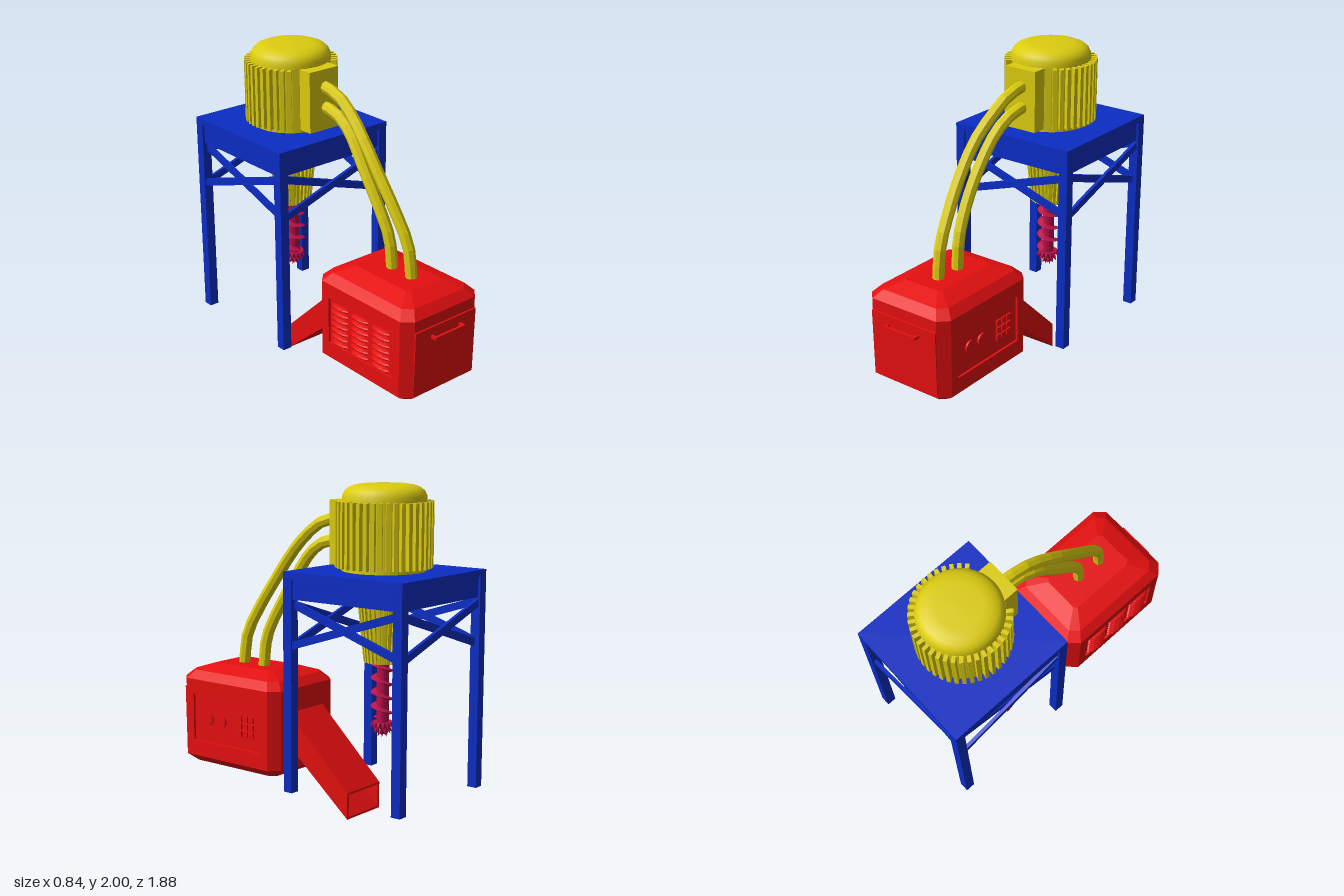
import * as THREE from 'three';

const mat = (color, flatShading = true) => {
  const m = new THREE.MeshStandardMaterial({ color, side: THREE.DoubleSide });
  m.flatShading = flatShading;
  return m;
};
const YELLOW = mat(0xdccc10), RED = mat(0xe60f10), BLUE = mat(0x0b2cc4), CRIMSON = mat(0xb80f48);
const SMOOTH_YELLOW = mat(0xdccc10, false);

function add(parent, name, geometry, material, x = 0, y = 0, z = 0) {
  const mesh = new THREE.Mesh(geometry, material);
  mesh.name = name;
  mesh.position.set(x, y, z);
  parent.add(mesh);
  return mesh;
}
function group(parent, name, x = 0, y = 0, z = 0) {
  const g = new THREE.Group();
  g.name = name;
  g.position.set(x, y, z);
  parent.add(g);
  return g;
}
const box = (w, h, d) => new THREE.BoxGeometry(w, h, d);

// Rectangle with a rectangular hole, extruded
function frameGeometry(x, y0, y1, hx, hy0, hy1, depth) {
  const rect = (a, b, c) => [[-a, b], [a, b], [a, c], [-a, c]].map(p => new THREE.Vector2(...p));
  const shape = new THREE.Shape(rect(x, y0, y1));
  shape.holes.push(new THREE.Path(rect(hx, hy0, hy1).reverse()));
  return new THREE.ExtrudeGeometry(shape, { depth, bevelEnabled: false });
}

// Octagonal rings stacked into a chamfered casing, side windows left open
function casingGeometry() {
  const rings = [[0.24, 0.34, 0.19, 0.04], [0.3, 0.4, 0.24, 0.06], [0.3, 0.4, 0.735, 0.06],
    [0.25, 0.35, 0.785, 0.05], [0.135, 0.235, 0.825, 0.02]];
  const pos = [], idx = [];
  for (const [w, d, y, c] of rings)
    for (const [x, z] of [[w - c, d], [w, d - c], [w, c - d], [w - c, -d],
      [c - w, -d], [-w, c - d], [-w, d - c], [c - w, d]]) pos.push(x, y, z);
  for (let r = 0; r < rings.length - 1; r++)
    for (let i = 0; i < 8; i++) {
      if (r === 1 && (i === 1 || i === 5)) continue;
      const a = r * 8 + i, b = r * 8 + (i + 1) % 8;
      idx.push(a, b, b + 8, a, b + 8, a + 8);
    }
  const top = (rings.length - 1) * 8;
  for (let i = 1; i < 7; i++) idx.push(0, i + 1, i, top, top + i, top + i + 1);
  const g = new THREE.BufferGeometry();
  g.setAttribute('position', new THREE.Float32BufferAttribute(pos, 3));
  g.setIndex(idx);
  g.computeVertexNormals();
  return g;
}

// Triangular blade swept down a helix
function bladeGeometry(y0, pitch, turns) {
  const pos = [], idx = [], n = turns * 20;
  for (let i = 0; i <= n; i++) {
    const a = i / 20 * Math.PI * 2, y = y0 - i / 20 * pitch;
    for (const [r, dy] of [[0.03, 0.014], [0.072, 0], [0.03, -0.014]])
      pos.push(r * Math.sin(a), y + dy, r * Math.cos(a));
    if (i < n) for (let k = 0; k < 3; k++) {
      const p = i * 3 + k, q = i * 3 + (k + 1) % 3;
      idx.push(p, q, q + 3, p, q + 3, p + 3);
    }
  }
  const g = new THREE.BufferGeometry();
  g.setAttribute('position', new THREE.Float32BufferAttribute(pos, 3));
  g.setIndex(idx);
  g.computeVertexNormals();
  return g;
}

function buildStand(root) {
  const stand = group(root, 'stand', 0, 0, -0.52);
  add(stand, 'tableTop', box(0.84, 0.04, 0.84), BLUE, 0, 1.48, 0);
  for (const x of [-0.39, 0.39]) for (const z of [-0.39, 0.39])
    add(stand, 'leg', box(0.06, 1.275, 0.06), BLUE, x, 0.8275, z);
  for (let i = 0; i < 4; i++) {
    const side = group(stand, 'standSide');
    side.rotation.y = i * Math.PI / 2;
    add(side, 'apron', box(0.74, 0.12, 0.03), BLUE, 0, 1.4, 0.39);
    for (const s of [-1, 1])
      add(side, 'crossBrace', box(0.79, 0.045, 0.02), BLUE, 0, 1.19, 0.39 + s * 0.01)
        .rotation.z = s * Math.atan2(0.24, 0.74);
  }
}

function buildMotor(root) {
  const motor = group(root, 'motor', 0, 0, -0.51);
  add(motor, 'motorCore', new THREE.CylinderGeometry(0.247, 0.247, 0.4, 40), YELLOW, 0, 1.7, 0);
  const dome = [[0.246, 1.9], [0.244, 1.93], [0.232, 1.957], [0.21, 1.977], [0.175, 1.991], [0.13, 1.998], [0, 2]];
  add(motor, 'motorCap', new THREE.LatheGeometry(dome.map(p => new THREE.Vector2(...p)), 40), SMOOTH_YELLOW);
  // Cooling fins, leaving room for the junction box
  const count = 40;
  for (let i = 0; i < count; i++) {
    const a = (i + 0.5) / count * Math.PI * 2;
    if (Math.cos(a) > 0.84) continue;
    add(motor, 'coolingFin', box(0.023, 0.38, 0.05), YELLOW,
      Math.sin(a) * 0.26, 1.71, Math.cos(a) * 0.26).rotation.y = a;
  }
  add(motor, 'junctionBox', box(0.22, 0.38, 0.15), YELLOW, 0, 1.71, 0.24);
  // Ribbed tapering gearbox under the table
  add(motor, 'gearbox', new THREE.CylinderGeometry(0.155, 0.1, 0.54, 32), YELLOW, 0, 1.23, 0);
  for (let i = 0; i < 28; i++) {
    const pivot = group(motor, 'gearboxRib');
    pivot.rotation.y = i / 28 * Math.PI * 2;
    add(pivot, 'rib', box(0.015, 0.535, 0.03), YELLOW, 0, 1.23, 0.128).rotation.x = Math.atan(0.105);
  }
}

function buildAuger(root) {
  const auger = group(root, 'auger', 0, 0, -0.51);
  add(auger, 'shaft', new THREE.CylinderGeometry(0.037, 0.037, 0.42, 16), CRIMSON, 0, 0.77, 0);
  add(auger, 'screwBlade', bladeGeometry(0.96, 0.085, 4), CRIMSON);
  add(auger, 'bitHead', new THREE.CylinderGeometry(0.062, 0.03, 0.07, 16), CRIMSON, 0, 0.565, 0);
  // Rings of cutting teeth
  for (const [n, r, y] of [[14, 0.064, 0.582], [10, 0.048, 0.549], [6, 0.022, 0.528]])
    for (let i = 0; i < n; i++) {
      const a = i / n * Math.PI * 2;
      const tooth = add(auger, 'tooth', new THREE.ConeGeometry(0.012, 0.036, 5), CRIMSON,
        Math.sin(a) * r, y, Math.cos(a) * r);
      tooth.rotation.set(Math.PI * 0.8, a, 0, 'YXZ');
    }
}

function buildGenerator(root) {
  const unit = group(root, 'powerUnit', -0.01, 0, 0.485);
  add(unit, 'casing', casingGeometry(), RED);
  // Recessed side panels
  for (const s of [-1, 1]) {
    add(unit, 'sideFrame', frameGeometry(0.34, 0.24, 0.735, 0.28, 0.34, 0.64, 0.02), RED, s * 0.28)
      .rotation.y = s * Math.PI / 2;
    add(unit, 'sidePanel', box(0.01, 0.32, 0.6), RED, s * 0.28, 0.49, 0);
  }
  // Dials and keypad on the left
  for (const z of [0.16, 0.05])
    add(unit, 'dial', new THREE.CylinderGeometry(0.04, 0.04, 0.016, 24), RED, 0.29, 0.49, z)
      .rotation.z = Math.PI / 2;
  for (let r = 0; r < 3; r++) for (let c = 0; c < 3; c++)
    add(unit, 'key', box(0.014, 0.036, 0.038), RED, 0.29, 0.535 - r * 0.048, -0.105 - c * 0.048);
  // Louvres on the right
  for (let c = -1; c <= 1; c++) for (let r = 0; r < 7; r++)
    add(unit, 'louvre', new THREE.SphereGeometry(1, 10, 6), RED, -0.288, 0.61 - r * 0.04, c * 0.18)
      .scale.set(0.033, 0.014, 0.08);
  // Front door, slightly proud at the top, with its handle
  add(unit, 'door', box(0.48, 0.42, 0.02), RED, 0, 0.455, 0.396).rotation.x = 0.02;
  add(unit, 'handleBar', box(0.24, 0.018, 0.016), RED, 0, 0.604, 0.442);
  for (const x of [-0.111, 0.111])
    add(unit, 'handleArm', box(0.018, 0.018, 0.06), RED, x, 0.604, 0.412);

  // Open chute sloping down to the ground behind the casing
  const chute = frameGeometry(0.16, 0, 1, 0.145, 0.08, 0.92, 1);
  const p = chute.attributes.position;
  for (let i = 0; i < p.count; i++) {
    const t = p.getZ(i);
    const low = THREE.MathUtils.lerp(0.002, 0.385, t), high = THREE.MathUtils.lerp(0.165, 0.595, t);
    p.setY(i, THREE.MathUtils.lerp(low, high, p.getY(i)));
    p.setZ(i, THREE.MathUtils.lerp(-0.85, -0.395, t));
  }
  chute.computeVertexNormals();
  add(unit, 'chute', chute, RED);
}

function buildHoses(root) {
  const hoses = {
    upperHose: [[0.01, 1.795, -0.23], [0.005, 1.765, -0.07], [-0.005, 1.685, 0.06], [-0.025, 1.56, 0.2],
      [-0.028, 1.375, 0.345], [-0.015, 1.18, 0.475], [-0.003, 1.01, 0.562], [0, 0.8, 0.59]],
    lowerHose: [[0.015, 1.665, -0.23], [0.012, 1.64, -0.08], [0, 1.565, 0.04], [-0.015, 1.375, 0.19],
      [-0.012, 1.19, 0.31], [0, 1.01, 0.395], [0.005, 0.8, 0.42]],
  };
  for (const [name, pts] of Object.entries(hoses)) {
    const path = new THREE.CatmullRomCurve3(pts.map(q => new THREE.Vector3(...q)));
    add(root, name, new THREE.TubeGeometry(path, 14, 0.036, 8), YELLOW);
  }
}

export function createModel() {
  const root = new THREE.Group();
  root.name = 'drillingRig';
  buildStand(root);
  buildMotor(root);
  buildAuger(root);
  buildGenerator(root);
  buildHoses(root);
  return root;
}
